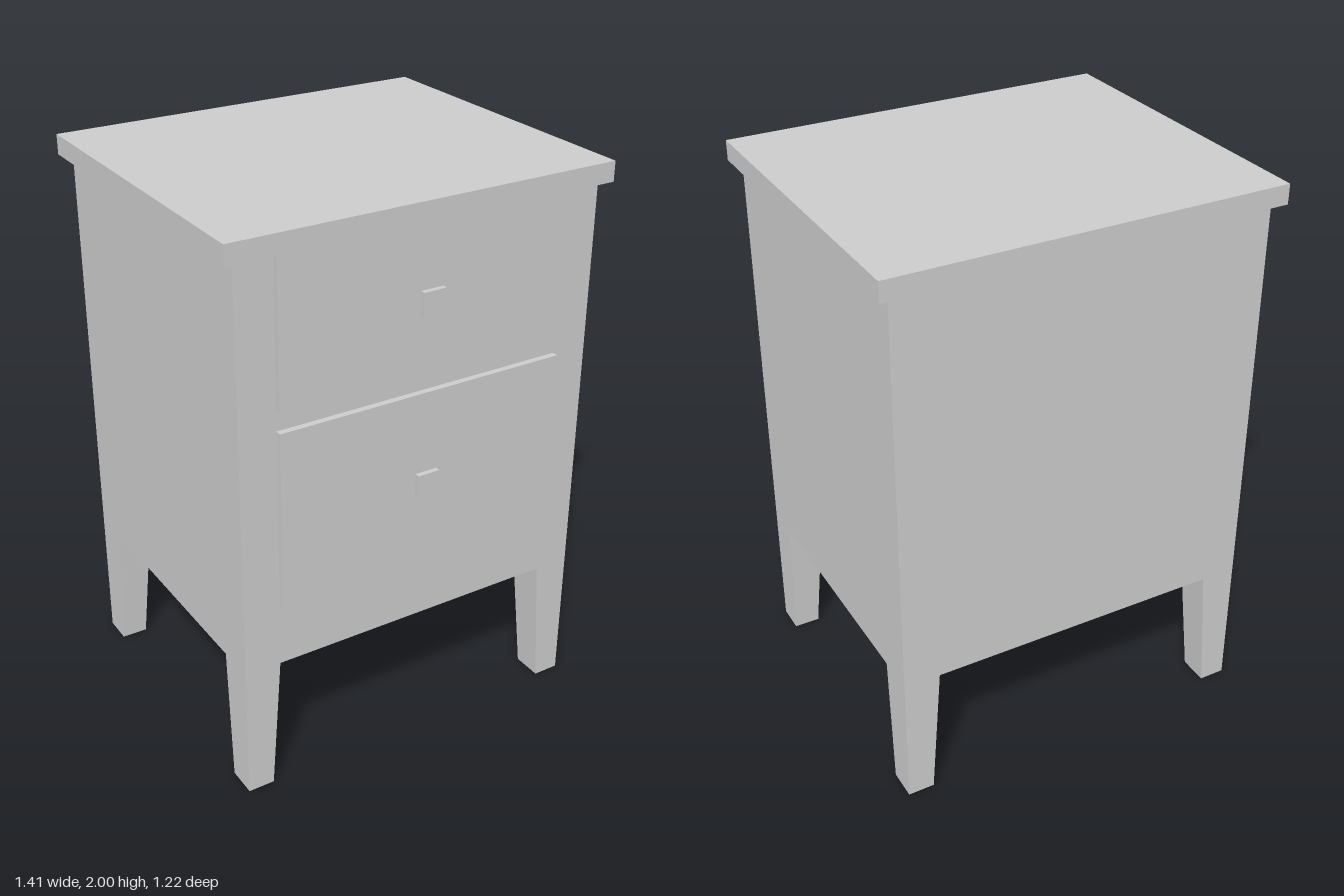
import * as THREE from 'three';

const material = new THREE.MeshStandardMaterial({ color: 0xcccccc, flatShading: true });

// Box given by its minimum and maximum on each axis
function box(name, [x0, x1], [y0, y1], [z0, z1]) {
  const mesh = new THREE.Mesh(new THREE.BoxGeometry(x1 - x0, y1 - y0, z1 - z0), material);
  mesh.position.set((x0 + x1) / 2, (y0 + y1) / 2, (z0 + z1) / 2);
  mesh.name = name;
  return mesh;
}

const HALF_W = 0.665, FRONT = 0.558, BACK = -0.58, LEG_H = 0.49;

// Leg whose outer faces are flush with the cabinet and inner faces taper to the foot
function leg(name, sx, sz) {
  const geometry = new THREE.BoxGeometry(1, 1, 1);
  const p = geometry.attributes.position;
  const outerX = sx * HALF_W, outerZ = sz > 0 ? FRONT : BACK;
  for (let i = 0; i < p.count; i++) {
    const top = p.getY(i) > 0;
    const innerX = outerX - sx * (top ? 0.13 : 0.095);
    const innerZ = outerZ - sz * (top ? 0.138 : 0.108);
    p.setXYZ(i,
      p.getX(i) * sx > 0 ? outerX : innerX,
      top ? LEG_H : 0,
      p.getZ(i) * sz > 0 ? outerZ : innerZ);
  }
  geometry.computeVertexNormals();
  const mesh = new THREE.Mesh(geometry, material);
  mesh.name = name;
  return mesh;
}

// Raised drawer front with a square knob on a short stem
function drawer(name, y0, y1, knobY) {
  const group = new THREE.Group();
  group.name = name;
  group.add(
    box('drawerFront', [-0.533, 0.533], [y0, y1], [FRONT, 0.58]),
    box('knobStem', [-0.03, 0.03], [knobY - 0.032, knobY + 0.032], [0.58, 0.594]),
    box('knob', [-0.041, 0.041], [knobY - 0.043, knobY + 0.043], [0.594, 0.612]));
  return group;
}

export function createModel() {
  const model = new THREE.Group();
  model.name = 'nightstand';
  model.add(
    box('tabletop', [-0.705, 0.705], [1.93, 2], [-0.612, 0.587]),
    box('cabinet', [-HALF_W, HALF_W], [LEG_H, 1.93], [BACK, FRONT]),
    drawer('upperDrawer', 1.425, 1.93, 1.675),
    drawer('lowerDrawer', 0.715, 1.355, 1.033));
  for (const [side, sx] of [['Left', 1], ['Right', -1]]) {
    model.add(leg('front' + side + 'Leg', sx, 1), leg('back' + side + 'Leg', sx, -1));
  }
  return model;
}
